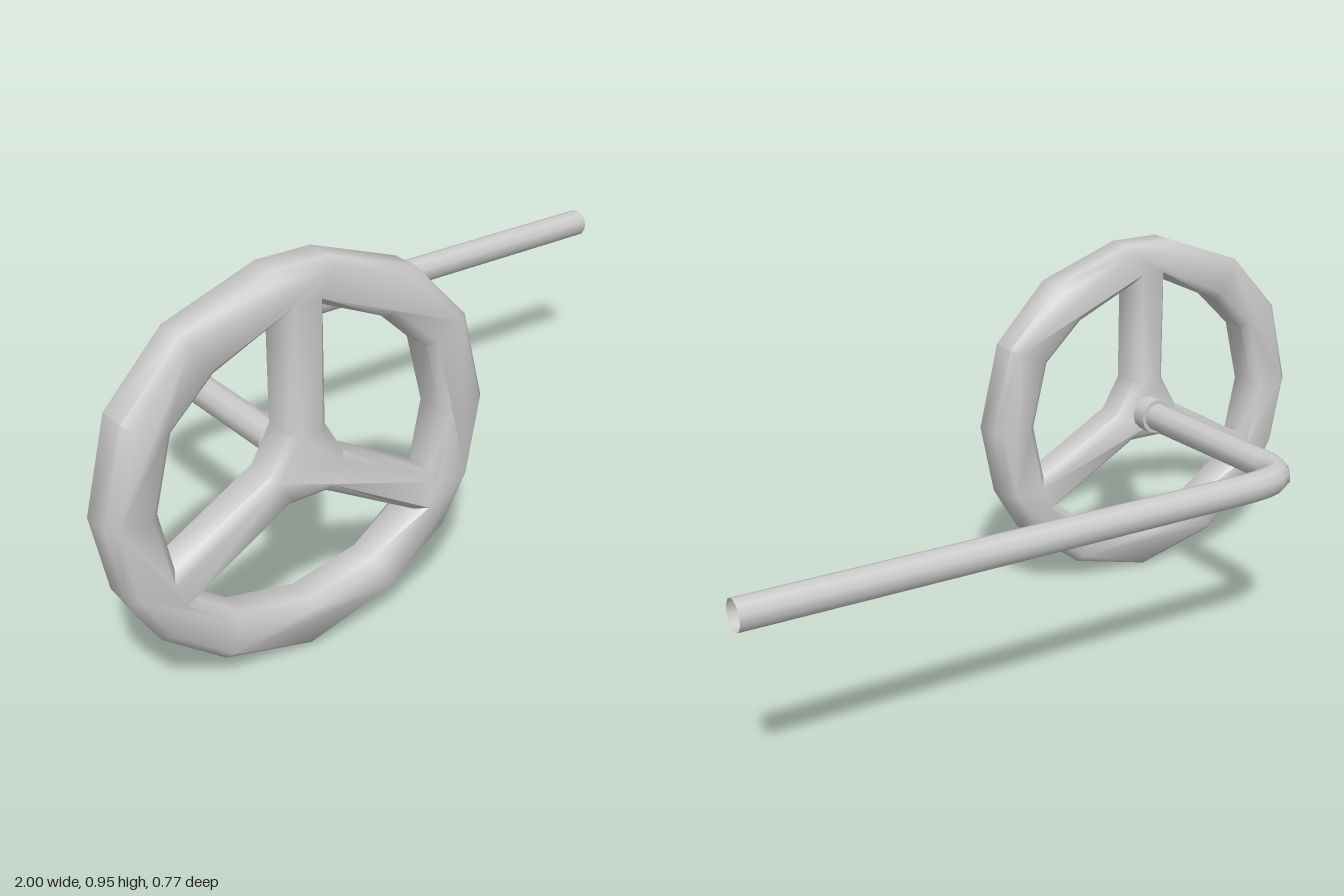
import * as THREE from 'three';
import { toCreasedNormals } from 'three/addons/utils/BufferGeometryUtils.js';

const material = new THREE.MeshStandardMaterial({ color: 0xcccccc });
const pipeMaterial = new THREE.MeshStandardMaterial({ color: 0xcccccc, side: THREE.DoubleSide });

const toPoints = (list) => list.map(([x, y]) => new THREE.Vector2(x, y));
const mirrored = (list) => list.map(([x, y]) => [-x, y]).reverse();

// Faceted wheel: rim, three spokes and hub cut from one bevelled plate
function createWheel() {
  // Outline runs counter-clockwise, holes clockwise
  const rimRight = [[0.23, -0.417], [0.387, -0.3], [0.461, -0.177], [0.5, 0.013],
    [0.445, 0.239], [0.3, 0.394], [0.07, 0.476]];
  const shape = new THREE.Shape(toPoints([...rimRight, ...mirrored(rimRight), [0, -0.476]]));

  const sideHole = [[0.049, 0.369], [0.227, 0.289], [0.334, 0.187], [0.377, 0.011],
    [0.345, -0.139], [0.098, 0], [0.049, 0.085]];
  const lowerHalf = [[0.049, -0.085], [0.302, -0.228], [0.18, -0.316]];
  const lowerHole = [...lowerHalf, [0, -0.353], ...mirrored(lowerHalf)];
  for (const hole of [sideHole, mirrored(sideHole), lowerHole]) {
    shape.holes.push(new THREE.Path(toPoints(hole)));
  }

  const bevel = 0.02;
  const thickness = 0.112;
  const geometry = new THREE.ExtrudeGeometry(shape, {
    depth: thickness - 2 * bevel,
    bevelEnabled: true, bevelSegments: 1,
    bevelSize: bevel, bevelThickness: bevel, bevelOffset: -bevel,
  });
  const wheel = new THREE.Mesh(toCreasedNormals(geometry, 0.9), material);
  wheel.name = 'spokedWheel';
  wheel.position.set(-0.5, 0.476, 0.275 + bevel);
  return wheel;
}

// Open pipe running back from the hub, then bending sideways
function createPipe() {
  const v = (x, z) => new THREE.Vector3(x, 0.471, z);
  const path = new THREE.CurvePath();
  path.add(new THREE.LineCurve3(v(-0.49, 0.25), v(-0.49, -0.22)));
  path.add(new THREE.CubicBezierCurve3(v(-0.49, -0.22), v(-0.49, -0.33), v(-0.45, -0.349), v(-0.29, -0.349)));
  path.add(new THREE.LineCurve3(v(-0.29, -0.349), v(1, -0.349)));
  const pipe = new THREE.Mesh(new THREE.TubeGeometry(path, 64, 0.038, 10), pipeMaterial);
  pipe.name = 'bentPipe';
  return pipe;
}

// Short collar joining pipe and hub
function createCollar() {
  const collar = new THREE.Mesh(new THREE.CylinderGeometry(0.048, 0.048, 0.06, 12), material);
  collar.name = 'collar';
  collar.rotation.x = Math.PI / 2;
  collar.position.set(-0.49, 0.471, 0.26);
  return collar;
}

export function createModel() {
  const group = new THREE.Group();
  group.name = 'handwheelWithPipe';
  group.add(createWheel(), createCollar(), createPipe());
  return group;
}
